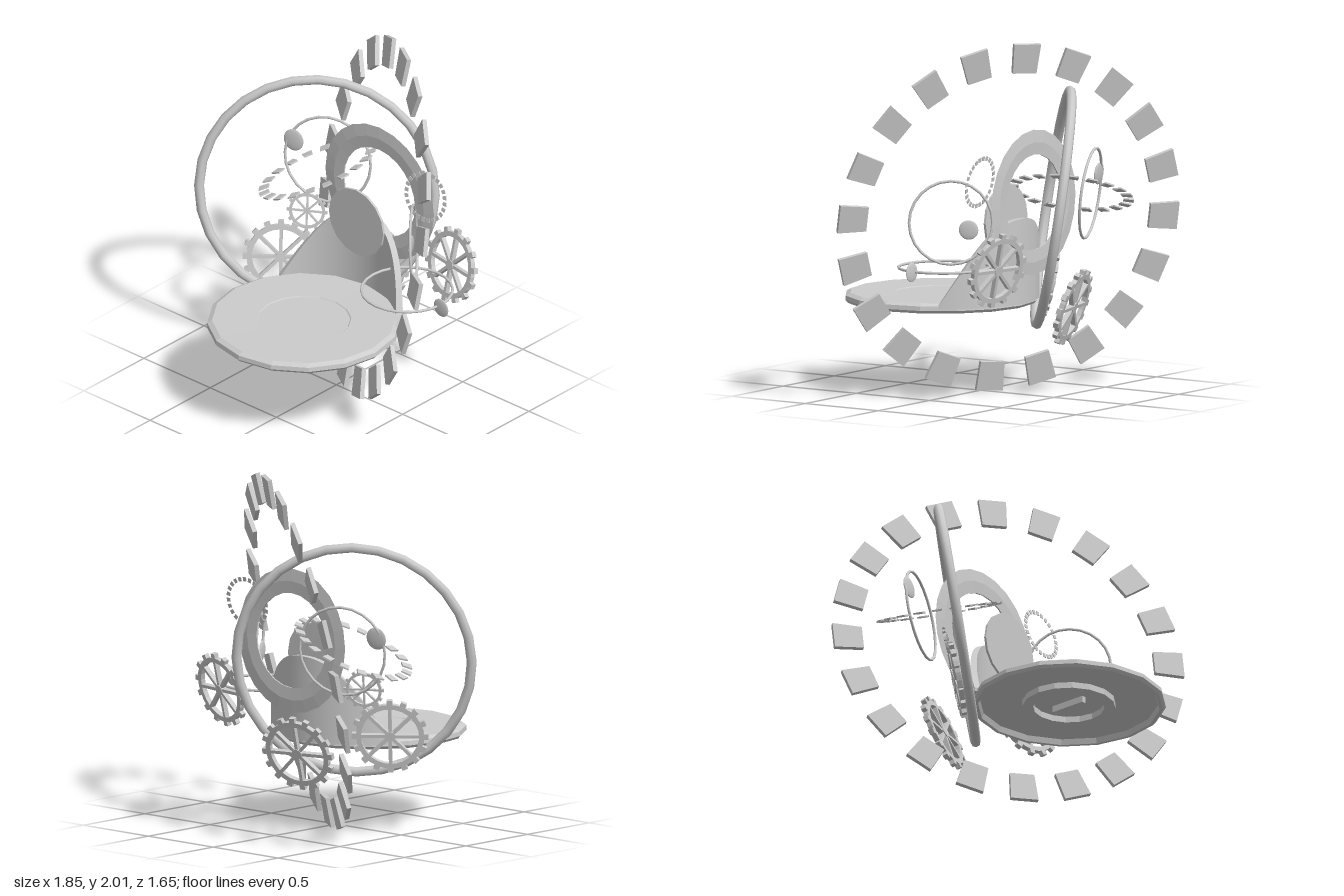
import * as THREE from 'three';

const smooth = new THREE.MeshStandardMaterial({ color: 0xcccccc });
const flat = new THREE.MeshStandardMaterial({ color: 0xcccccc, flatShading: true });
const UP = new THREE.Vector3(0, 1, 0);

// Turn an object's local z to the given normal, keeping its y as upright as possible
function place(obj, pos, normal) {
  const n = new THREE.Vector3(...normal).normalize();
  const u = UP.clone().cross(n).normalize();
  const v = n.clone().cross(u);
  obj.quaternion.setFromRotationMatrix(new THREE.Matrix4().makeBasis(u, v, n));
  obj.position.set(...pos);
  return obj;
}

function mesh(name, geometry, material = flat) {
  const m = new THREE.Mesh(geometry, material);
  m.name = name;
  return m;
}

// Circle of slightly tapered plates, all proportions following the radius
function plateRing(name, radius, count = 20, phase = 0) {
  const g = new THREE.Group();
  g.name = name;
  const plate = new THREE.BoxGeometry(0.172 * radius, 0.182 * radius, 0.027 * radius);
  const p = plate.attributes.position;
  for (let i = 0; i < p.count; i++) if (p.getY(i) < 0) p.setX(i, p.getX(i) * 0.88);
  for (let i = 0; i < count; i++) {
    const a = phase + (i / count) * Math.PI * 2;
    const m = mesh('plate', plate);
    m.position.set(-Math.sin(a) * radius, Math.cos(a) * radius, 0);
    m.rotation.z = a;
    g.add(m);
  }
  return g;
}

// Spoked gear with square teeth; r is the tip radius
function gear(name, r, teeth = 14, spokes = 8) {
  const g = new THREE.Group();
  g.name = name;
  const t = 0.13 * r;
  const rim = new THREE.LatheGeometry(
    [[0.76, -1], [0.89, -1], [0.89, 1], [0.76, 1], [0.76, -1]]
      .map(([x, y]) => new THREE.Vector2(x * r, y * t / 2)), 28);
  g.add(mesh('gearRim', rim.rotateX(Math.PI / 2)));
  g.add(mesh('gearHub', new THREE.CylinderGeometry(0.14 * r, 0.14 * r, t * 1.3, 10).rotateX(Math.PI / 2)));
  const radial = (label, n, width, r0, r1) => {
    for (let i = 0; i < n; i++) {
      const bar = mesh(label, new THREE.BoxGeometry(width, r1 - r0, t).translate(0, (r0 + r1) / 2, 0));
      bar.rotation.z = (i / n) * Math.PI * 2;
      g.add(bar);
    }
  };
  radial('spoke', spokes, 0.085 * r, 0.1 * r, 0.8 * r);
  radial('tooth', teeth, 0.15 * r, 0.86 * r, r);
  return g;
}

const hoop = (name, radius, tube, segments = 24) =>
  mesh(name, new THREE.TorusGeometry(radius, tube, 8, segments), smooth);

// Thin round plate with a slightly domed face
const bead = (name, r) => mesh(name, new THREE.SphereGeometry(r, 16, 10).scale(1, 1, 0.16), smooth);

const disc = (name, r, thick) =>
  mesh(name, new THREE.CylinderGeometry(r, r, thick, 16).rotateX(Math.PI / 2));

function createModel() {
  const model = new THREE.Group();
  const add = (obj, pos, normal) => model.add(place(obj, pos, normal));

  // Round base, hollow underneath with a foot ring and a key bar
  const profile = [[0, 0.515], [0.2, 0.515], [0.2, 0.48], [0.262, 0.48], [0.262, 0.515], [0.5, 0.515],
    [0.51, 0.484], [0.53, 0.484], [0.545, 0.5], [0.542, 0.525], [0.515, 0.54], [0.265, 0.535],
    [0.26, 0.53], [0, 0.53]].map(([x, y]) => new THREE.Vector2(x, y));
  const base = mesh('base', new THREE.LatheGeometry(profile, 16));
  base.position.z = 0.27;
  model.add(base);
  const key = mesh('baseKey', new THREE.BoxGeometry(0.025, 0.04, 0.22));
  key.position.set(0, 0.498, 0.27);
  model.add(key);

  // Arched backrest: a subdivided slab bent around the rear rim of the base
  const back = new THREE.BoxGeometry(1, 1, 1, 32, 6, 1);
  const bp = back.attributes.position;
  for (let i = 0; i < bp.count; i++) {
    const a = bp.getX(i) * 2 * 0.99;
    const r = bp.getZ(i) < 0 ? 0.55 : 0.515;
    const x = Math.sin(a) * 0.55;
    const top = 0.53 + 0.46 * (1 - Math.pow(Math.min(1, Math.abs(x) / 0.46), 2.5));
    const y = 0.51 + (bp.getY(i) + 0.5) * (top - 0.51);
    bp.setXYZ(i, Math.sin(a) * r, y, 0.27 - Math.cos(a) * r);
  }
  back.computeVertexNormals();
  model.add(mesh('backrest', back, smooth));

  // Round plate in front of the backrest, and the flat halo behind it
  add(disc('frontDisc', 0.205, 0.014), [0, 0.975, -0.17], [0, 0, 1]);
  const halo = new THREE.LatheGeometry(
    [[0.27, -0.004], [0.34, -0.008], [0.41, 0], [0.34, 0.008], [0.27, 0.004], [0.27, -0.004]]
      .map(([x, y]) => new THREE.Vector2(x, y)), 24);
  add(mesh('halo', halo.rotateX(Math.PI / 2)), [0, 1.09, -0.36], [0, 0, 1]);

  // Rings of plates
  add(plateRing('largePlateRing', 0.934, 20, 0.04), [0.07, 1.005, -0.235], [-0.548, 0.188, 0.813]);
  add(plateRing('sidePlateRing', 0.325, 20), [-0.43, 1.09, -0.315], [-0.39, 0.91, 0.13]);
  add(plateRing('smallPlateRing', 0.137, 24), [0.415, 1.245, -0.285], [0.05, 0.17, 0.98]);

  // Hoops and the round beads on them
  add(hoop('largeHoop', 0.662, 0.028, 28), [-0.365, 1.01, -0.24], [0.6, 0.15, 0.79]);
  add(hoop('rightHoop', 0.255, 0.008), [-0.455, 1.095, -0.43], [0.38, 0.11, 0.92]);
  add(bead('rightBead', 0.064), [-0.645, 1.18, -0.355], [0.2, 0.1, 0.97]);
  add(hoop('leftHoop', 0.234, 0.008), [0.47, 1.01, -0.125], [0.76, 0.05, -0.6]);
  add(bead('leftBead', 0.055), [0.39, 0.965, -0.19], [0.88, 0, -0.45]);
  add(hoop('flatHoop', 0.256, 0.008), [0.465, 0.755, -0.075], [0, 1, 0.002]);
  add(bead('flatHoopBead', 0.055), [0.745, 0.755, -0.05], [0, 0, 1]);

  // Gears around the back
  add(gear('leftGear', 0.215), [0.47, 0.765, -0.44], [-0.17, 0.22, 0.95]);
  add(gear('rearGear', 0.222, 16), [-0.18, 0.49, -0.5], [0.24, 0.3, 0.92]);
  add(gear('rightGear', 0.215, 16), [-0.52, 0.58, -0.11], [0.62, 0.2, 0.76]);
  add(gear('smallGear', 0.115, 12), [-0.44, 0.85, -0.24], [0.5, 0.2, 0.85]);

  return model;
}

export { createModel };
